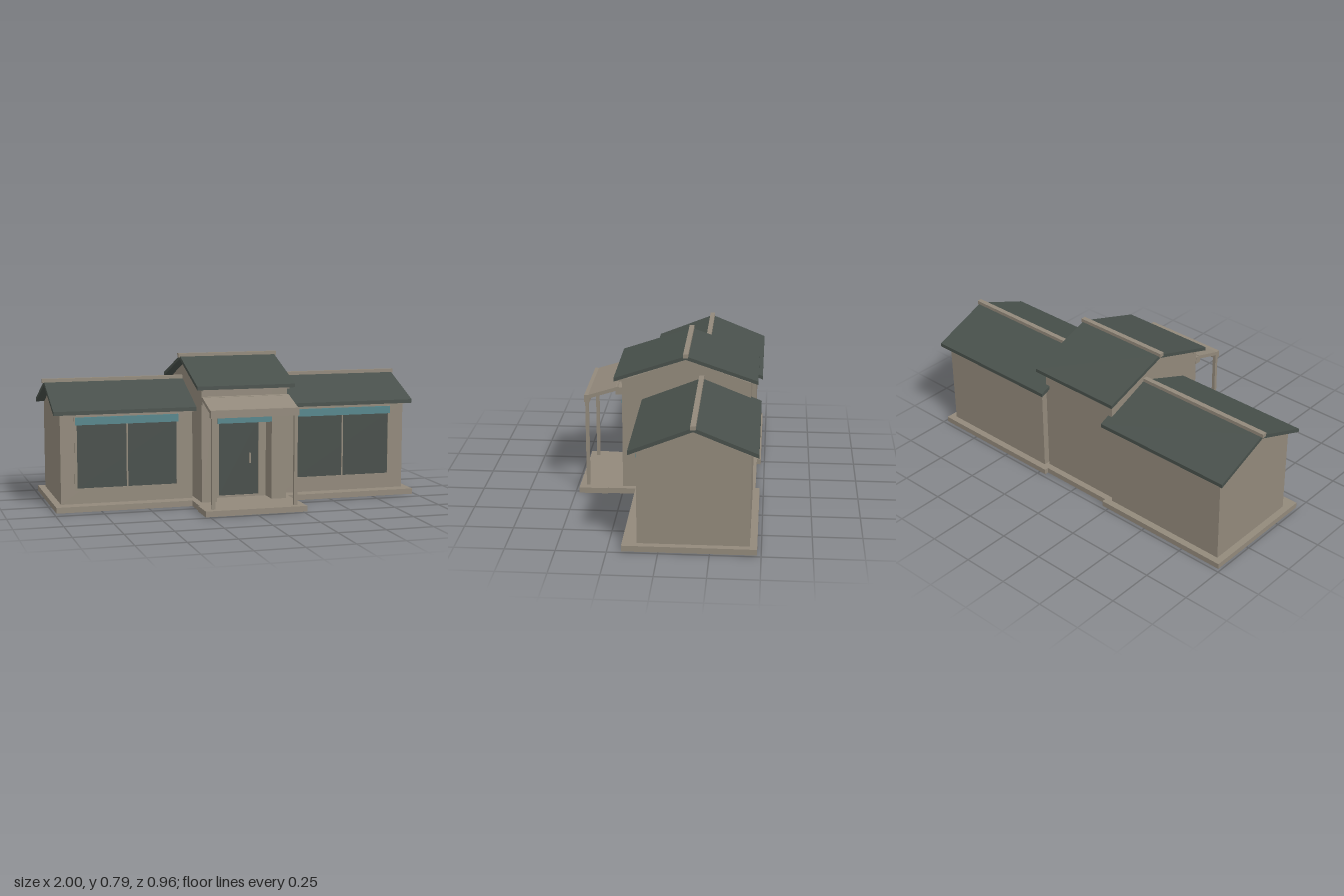
import * as THREE from 'three';

const mat = (name, color) => {
  const m = new THREE.MeshStandardMaterial({ color });
  m.name = name;
  return m;
};

export function createModel() {
  const wall = mat('stone wall', 0x92897b);
  const slate = mat('dark slate', 0x48504b);
  const glass = mat('dark glass', 0x464d49);
  const teal = mat('teal panel', 0x55858b);

  const root = new THREE.Group();
  root.name = 'building';

  const add = (parent, name, geo, material) => {
    const mesh = new THREE.Mesh(geo, material);
    mesh.name = name;
    parent.add(mesh);
    return mesh;
  };

  // Box given by its limits on each axis
  const box = (parent, name, material, x0, x1, y0, y1, z0, z1) => {
    const g = new THREE.BoxGeometry(x1 - x0, y1 - y0, z1 - z0);
    g.translate((x0 + x1) / 2, (y0 + y1) / 2, (z0 + z1) / 2);
    return add(parent, name, g, material);
  };

  // Side profile of [z, y] points, extruded along x
  const prism = (parent, name, material, x0, x1, pts) => {
    const shape = new THREE.Shape(pts.map(([z, y]) => new THREE.Vector2(z, y)));
    const g = new THREE.ExtrudeGeometry(shape, { depth: x1 - x0, bevelEnabled: false });
    g.rotateY(-Math.PI / 2);
    g.translate(x1, 0, 0);
    return add(parent, name, g, material);
  };

  // Two-slope roof slab with a ridge cap
  const gableRoof = (parent, x0, x1, zFront, zRidge, zBack, eave, ridge, thick, cap) => {
    prism(parent, 'roof', slate, x0, x1, [
      [zFront, eave], [zFront, eave + thick], [zRidge, ridge], [zBack, eave + thick],
      [zBack, eave], [zRidge, ridge - thick],
    ]);
    box(parent, 'ridgeCap', wall, x0 - 0.01, x1 + 0.01, ridge - 0.008, ridge + 0.013,
      zRidge - 0.013, zRidge + 0.013);
  };

  // Side wings
  for (const side of [-1, 1]) {
    const wing = new THREE.Group();
    wing.name = side > 0 ? 'leftWing' : 'rightWing';
    wing.position.x = side * 0.598;
    root.add(wing);
    box(wing, 'plinth', wall, -0.388, 0.388, 0, 0.03, -0.48, 0.18);
    prism(wing, 'walls', wall, -0.352, 0.352, [
      [0.107, 0.03], [0.107, 0.5], [-0.168, 0.621], [-0.444, 0.5], [-0.444, 0.03],
    ]);
    box(wing, 'eaveBoard', wall, -0.352, 0.352, 0.498, 0.518, 0.08, 0.135);
    gableRoof(wing, -0.39, 0.39, 0.145, -0.168, -0.481, 0.502, 0.647, 0.02);

    // Shop window with frame, mullion and sign band
    box(wing, 'windowGlass', glass, -0.265, 0.265, 0.11, 0.447, 0.1, 0.1085);
    for (const s of [-1, 1]) {
      box(wing, 'windowJamb', wall, s * 0.272 - 0.007, s * 0.272 + 0.007, 0.1, 0.485, 0.1, 0.112);
    }
    box(wing, 'windowSill', wall, -0.265, 0.265, 0.1, 0.112, 0.1, 0.112);
    box(wing, 'windowMullion', wall, -0.004, 0.004, 0.112, 0.447, 0.1, 0.111);
    box(wing, 'windowBand', teal, -0.274, 0.274, 0.445, 0.485, 0.108, 0.1178);
  }

  // Central block with a recessed entrance
  const centre = new THREE.Group();
  centre.name = 'centralBlock';
  root.add(centre);
  box(centre, 'plinth', wall, -0.265, 0.265, 0, 0.03, -0.458, 0.327);
  box(centre, 'porchSlab', wall, -0.272, 0.272, 0, 0.03, 0.327, 0.48);
  box(centre, 'walls', wall, -0.232, 0.232, 0.03, 0.625, -0.424, 0.13);
  for (const s of [-1, 1]) {
    box(centre, 'entrancePier', wall, s * 0.191 - 0.041, s * 0.191 + 0.041, 0.03, 0.625, 0.13, 0.25);
  }
  box(centre, 'entranceHeader', wall, -0.15, 0.15, 0.447, 0.625, 0.13, 0.25);
  prism(centre, 'gable', wall, -0.232, 0.232, [[0.25, 0.625], [-0.086, 0.745], [-0.424, 0.625]]);
  box(centre, 'eaveBoard', wall, -0.235, 0.235, 0.62, 0.638, 0.225, 0.283);
  gableRoof(centre, -0.265, 0.265, 0.29, -0.086, -0.462, 0.627, 0.773, 0.019);

  // Door
  box(centre, 'doorGlass', glass, -0.11, 0.11, 0.04, 0.447, 0.13, 0.138);
  for (const s of [-1, 1]) {
    box(centre, 'doorJamb', wall, s * 0.13 - 0.02, s * 0.13 + 0.02, 0.03, 0.447, 0.13, 0.145);
  }
  box(centre, 'doorSill', wall, -0.11, 0.11, 0.03, 0.04, 0.13, 0.145);
  box(centre, 'doorHandle', wall, 0.059, 0.066, 0.21, 0.265, 0.138, 0.15);
  box(centre, 'doorBand', teal, -0.148, 0.148, 0.445, 0.485, 0.251, 0.2608);

  // Porch canopy on two slim posts
  const porch = new THREE.Group();
  porch.name = 'porch';
  root.add(porch);
  box(porch, 'canopyLedger', wall, -0.235, 0.235, 0.547, 0.587, 0.25, 0.283);
  prism(porch, 'canopyRoof', wall, -0.235, 0.235, [
    [0.27, 0.57], [0.27, 0.59], [0.435, 0.538], [0.435, 0.518],
  ]);
  box(porch, 'canopyBeam', wall, -0.235, 0.235, 0.5, 0.54, 0.421, 0.449);
  for (const s of [-1, 1]) {
    box(porch, 'porchPost', wall, s * 0.22 - 0.009, s * 0.22 + 0.009, 0.03, 0.5, 0.427, 0.445);
  }

  return root;
}
